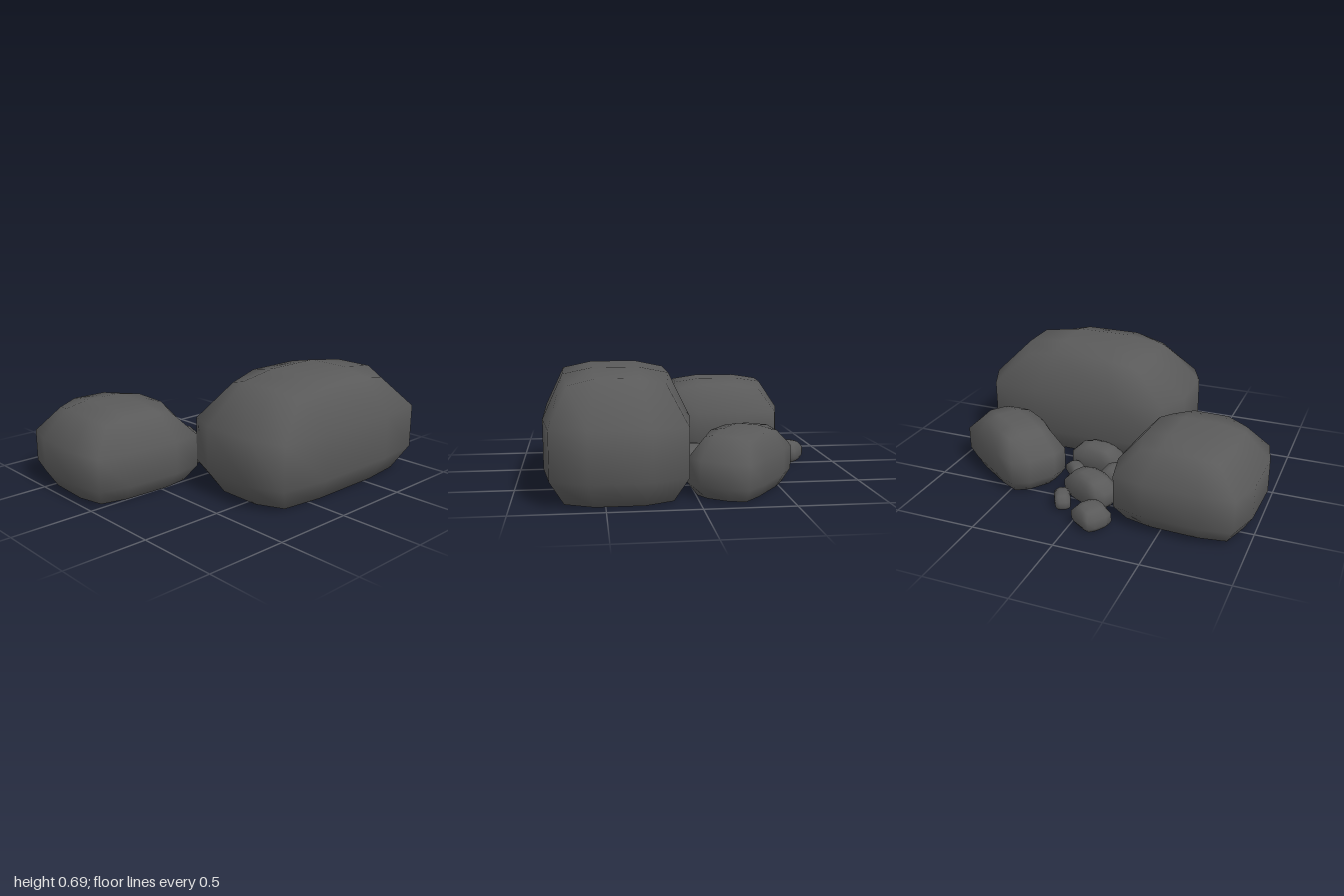
import * as THREE from 'three';

// Unit boulder: half-width 1 in x and z, height 1, standing on y = 0
function boulderGeometry() {
  const pos = [], idx = [];
  const t = 0.41, c = 0.87;
  const plan = [
    [-c, -c - 0.03], [-t, -1], [t, -1], [c, -c - 0.03],
    [1, -t], [1, t],
    [c, c + 0.03], [t, 1], [-t, 1], [-c, c + 0.03],
    [-1, t], [-1, -t],
  ];
  // height, x scale, z scale, height of the corners
  const rings = [
    [0, 0.85, 0.8, 0.0],
    [0.21, 1, 1, 0.21],
    [0.61, 1, 1, 0.6],
    [0.95, 0.645, 0.73, 0.89],
  ];
  for (const [y, sx, sz, cy] of rings) {
    plan.forEach(([x, z], i) => pos.push(x * sx, i % 3 === 0 ? cy : y, z * sz));
  }
  for (let r = 0; r < 3; r++) {
    for (let i = 0; i < 12; i++) {
      const j = (i + 1) % 12, a = r * 12, b = a + 12;
      idx.push(a + i, b + i, b + j, a + i, b + j, a + j);
    }
  }
  // Caps: the ring and four inner points make a 3 x 3 grid of quads
  const cap = (o, y, up) => {
    const n = pos.length / 3;
    for (const z of [-0.32, 0.32]) for (const x of [-0.27, 0.27]) pos.push(x, y, z);
    const g = [
      [o, o + 1, o + 2, o + 3],
      [o + 11, n, n + 1, o + 4],
      [o + 10, n + 2, n + 3, o + 5],
      [o + 9, o + 8, o + 7, o + 6],
    ];
    for (let r = 0; r < 3; r++) {
      for (let k = 0; k < 3; k++) {
        const p = g[r][k], q = g[r + 1][k], s = g[r + 1][k + 1], u = g[r][k + 1];
        if (up) idx.push(p, q, s, p, s, u);
        else idx.push(p, s, q, p, u, s);
      }
    }
  };
  cap(36, 1, true);
  cap(0, 0, false);
  const geo = new THREE.BufferGeometry();
  geo.setAttribute('position', new THREE.Float32BufferAttribute(pos, 3));
  geo.setIndex(idx);
  return geo;
}

export function createModel() {
  const group = new THREE.Group();
  group.name = 'rocks';
  const stone = new THREE.MeshStandardMaterial({ color: 0x5a5a5a });
  stone.name = 'dark grey stone';

  // name, centre x, centre z, half length, half depth, height, turn in degrees
  const rocks = [
    ['largeBoulder', 0.325, 0.425, 0.675, 0.405, 0.69, 0],
    ['mediumBoulder', -0.588, -0.32, 0.405, 0.4, 0.5, -2.5],
    ['smallBoulder', 0.595, -0.275, 0.345, 0.205, 0.355, -35],
    ['backStone', -0.11, -0.72, 0.095, 0.09, 0.125, -33],
    ['backPebble', 0.135, -0.58, 0.083, 0.047, 0.085, -62],
    ['middleStone', 0, -0.458, 0.165, 0.098, 0.17, -26],
    ['sideStone', -0.08, -0.26, 0.097, 0.095, 0.13, -5],
    ['middlePebble', 0.2, -0.225, 0.083, 0.048, 0.08, -42],
    ['frontStone', 0.12, -0.07, 0.16, 0.09, 0.16, -3],
  ];
  for (const [name, x, z, w, d, h, turn] of rocks) {
    const geo = boulderGeometry();
    geo.scale(w, h, d);
    geo.computeVertexNormals();
    const mesh = new THREE.Mesh(geo, stone);
    mesh.name = name;
    mesh.position.set(x, 0, z);
    mesh.rotation.y = THREE.MathUtils.degToRad(turn);
    group.add(mesh);
  }
  return group;
}
